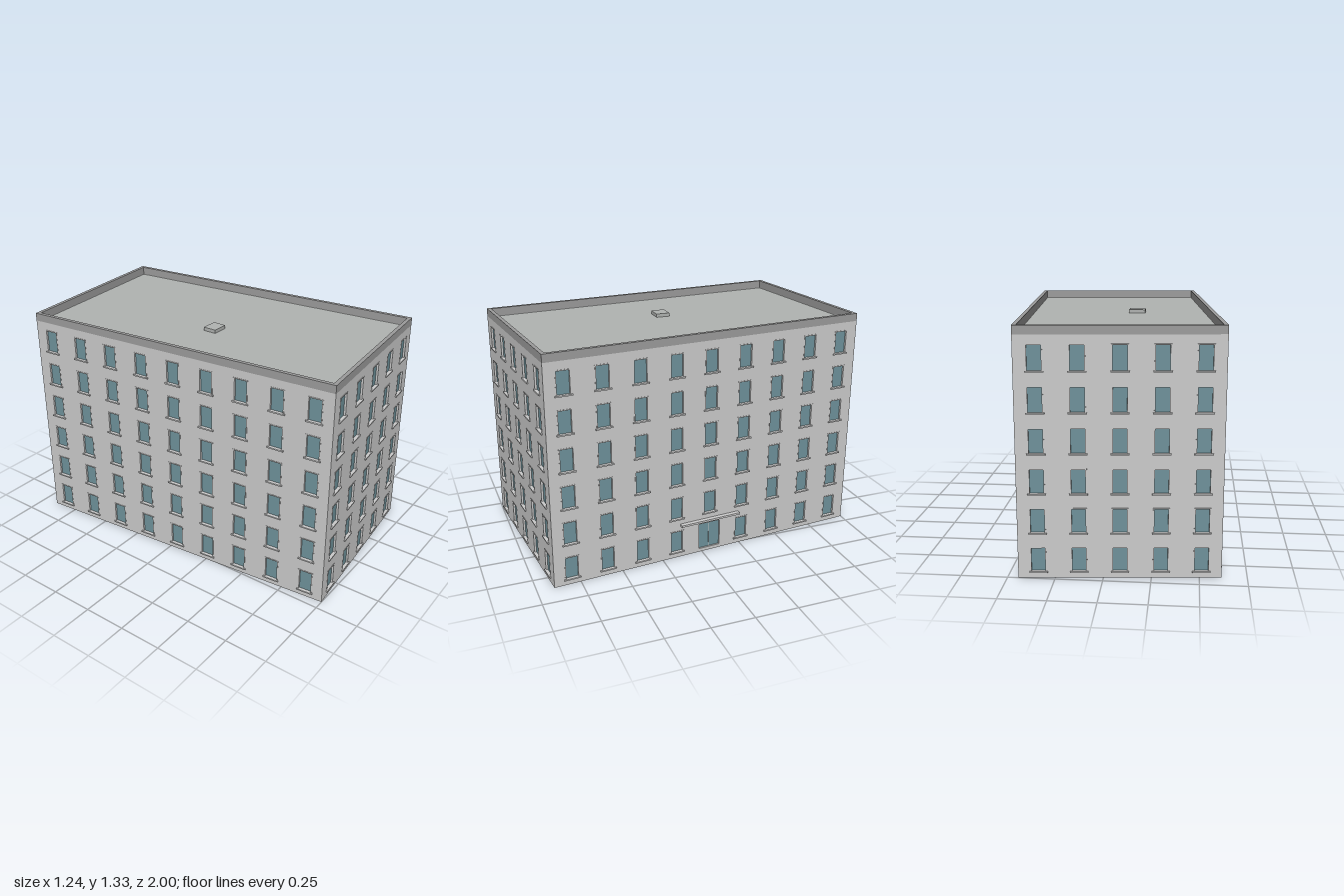
import * as THREE from 'three';
import { mergeGeometries } from 'three/addons/utils/BufferGeometryUtils.js';

const W = 1.062, L = 1.91, T = 0.022;       // plan size, wall thickness
const WALL_TOP = 1.28, TOP = 1.325;
const ROWS = 6, PITCH = 0.2125;             // storeys and window spacing
const WIN_W = 0.084, WIN_H = 0.135, WIN_Y = 0.036;
const DOOR_W = 0.136, DOOR_H = 0.16, DOOR_Y = 0.02;

const mat = (color) => new THREE.MeshStandardMaterial({ color });
const wallMat = mat(0xcccccc), parapetMat = mat(0x9c9c9c), roofMat = mat(0xb0b3b1);
const glassMat = mat(0x6f929b), backingMat = mat(0x585858);

function box(w, h, d, x, y, z) {
  return new THREE.BoxGeometry(w, h, d).translate(x, y, z);
}

function add(group, name, geometry, material) {
  const mesh = new THREE.Mesh(geometry, material);
  mesh.name = name;
  group.add(mesh);
  return mesh;
}

function rectHole(x, y, w, h) {
  const p = new THREE.Path();
  p.moveTo(x - w / 2, y);
  p.lineTo(x - w / 2, y + h);
  p.lineTo(x + w / 2, y + h);
  p.lineTo(x + w / 2, y);
  p.closePath();
  return p;
}

// One facade: outer face on z = 0, wall body behind it
function facade(name, faceWidth, bodyWidth, cols, hasDoor) {
  const g = new THREE.Group();
  g.name = name;
  const shape = new THREE.Shape();
  shape.moveTo(-bodyWidth / 2, 0);
  shape.lineTo(bodyWidth / 2, 0);
  shape.lineTo(bodyWidth / 2, WALL_TOP);
  shape.lineTo(-bodyWidth / 2, WALL_TOP);
  shape.closePath();

  const frames = [], panes = [], backs = [], sills = [];
  const bar = 0.006;
  for (let r = 0; r < ROWS; r++) {
    for (let c = 0; c < cols; c++) {
      const x = (c - (cols - 1) / 2) * PITCH;
      const door = hasDoor && r === 0 && c === (cols - 1) / 2;
      const w = door ? DOOR_W : WIN_W, h = door ? DOOR_H : WIN_H;
      const y = door ? DOOR_Y : WIN_Y + r * PITCH;
      shape.holes.push(rectHole(x, y, w, h));
      panes.push(box(w, h, 0.003, x, y + h / 2, -0.012));
      backs.push(box(w, h, 0.002, x, y + h / 2, -0.0165));
      if (door) {
        frames.push(box(0.002, h, 0.003, x, y + h / 2, -0.0095));
        continue;
      }
      // Frame bars and projecting sill
      for (const s of [-1, 1]) {
        frames.push(box(bar, h, 0.012, x + s * (w - bar) / 2, y + h / 2, -0.005));
      }
      frames.push(box(w + 0.004, bar, 0.013, x, y + h - bar / 2, -0.0045));
      sills.push(box(w + 0.012, 0.008, 0.02, x, y - 0.003, -0.002));
    }
  }
  const wall = new THREE.ExtrudeGeometry(shape, { depth: T, bevelEnabled: false });
  add(g, 'wall', wall.translate(0, 0, -T), wallMat);
  add(g, 'windowFrames', mergeGeometries(frames), wallMat);
  add(g, 'windowSills', mergeGeometries(sills), wallMat);
  add(g, 'glass', mergeGeometries(panes), glassMat);
  add(g, 'windowBacking', mergeGeometries(backs), backingMat);
  // Parapet strip above the wall
  add(g, 'parapet', box(bodyWidth, TOP - WALL_TOP, T, 0, (TOP + WALL_TOP) / 2, -T / 2), parapetMat);
  if (hasDoor) {
    add(g, 'entranceCanopy', box(0.38, 0.012, 0.026, 0, 0.206, 0.013), wallMat);
  }
  return g;
}

export function createModel() {
  const model = new THREE.Group();
  model.name = 'apartmentBlock';

  // The block stands slightly turned
  const block = new THREE.Group();
  block.name = 'block';
  block.rotation.y = 0.0907;
  model.add(block);

  const sides = [
    ['frontFacade', W, W - 2 * T, 5, false, 0, L / 2],
    ['leftFacade', L, L, 9, true, Math.PI / 2, W / 2],
    ['backFacade', W, W - 2 * T, 5, false, Math.PI, L / 2],
    ['rightFacade', L, L, 9, false, -Math.PI / 2, W / 2],
  ];
  for (const [name, face, body, cols, door, angle, dist] of sides) {
    const f = facade(name, face, body, cols, door);
    f.rotation.y = angle;
    f.position.set(Math.sin(angle) * dist, 0, Math.cos(angle) * dist);
    block.add(f);
  }

  // Roof slab inside the parapet
  add(block, 'roof', box(W - 2 * T, 0.01, L - 2 * T, 0, 1.272, 0), roofMat);

  // Roof hatch, square to the axes
  add(model, 'roofHatch', box(0.096, 0.02, 0.08, -0.107, 1.287, 0.021), roofMat);
  return model;
}
